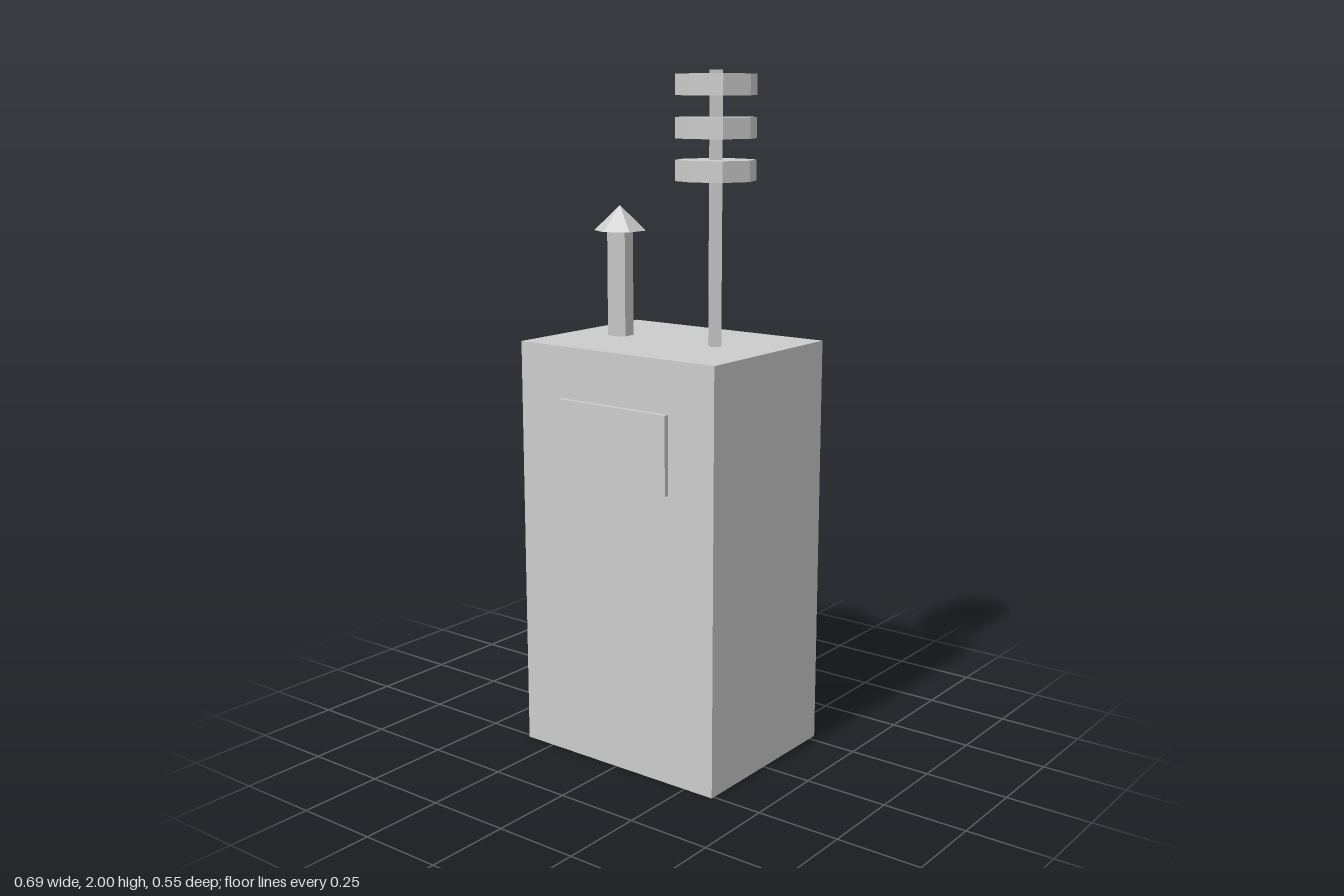
import * as THREE from 'three';

export function createModel() {
  const model = new THREE.Group();
  model.name = 'electricalCabinet';
  const grey = new THREE.MeshStandardMaterial({ color: 0xcccccc, flatShading: true });
  grey.name = 'plain grey';

  const add = (name, geometry, x, y, z, parent = model) => {
    const mesh = new THREE.Mesh(geometry, grey);
    mesh.name = name;
    mesh.position.set(x, y, z);
    parent.add(mesh);
    return mesh;
  };
  // Upright prism or cone between two heights
  const column = (name, rTop, rBottom, sides, y0, y1, parent) =>
    add(name, new THREE.CylinderGeometry(rTop, rBottom, y1 - y0, sides), 0, (y0 + y1) / 2, 0, parent);

  const top = 1.232, midZ = -0.009;

  // Cabinet and its front panel
  add('cabinetBody', new THREE.BoxGeometry(0.692, top, 0.538), 0, top / 2, midZ);
  add('frontPanel', new THREE.BoxGeometry(0.384, 0.228, 0.03), 0, 0.967, 0.26);

  // Hexagonal vent pipe with a pointed cap
  const vent = new THREE.Group();
  vent.name = 'ventPipe';
  vent.position.set(-0.193, 0, midZ);
  model.add(vent);
  column('pipe', 0.0385, 0.0385, 6, top, 1.542, vent);
  column('pipeCap', 0, 0.077, 6, 1.542, 1.616, vent);

  // Square mast carrying three octagonal insulator discs
  const mast = new THREE.Group();
  mast.name = 'insulatorMast';
  mast.position.set(0.153, 0, midZ);
  model.add(mast);
  column('mastRod', 0.023, 0.023, 4, top, 2, mast);
  for (let i = 0; i < 3; i++) {
    const y = 1.698 + i * 0.1165;
    column('insulatorDisc' + (i + 1), 0.115, 0.115, 8, y, y + 0.058, mast);
  }
  return model;
}
